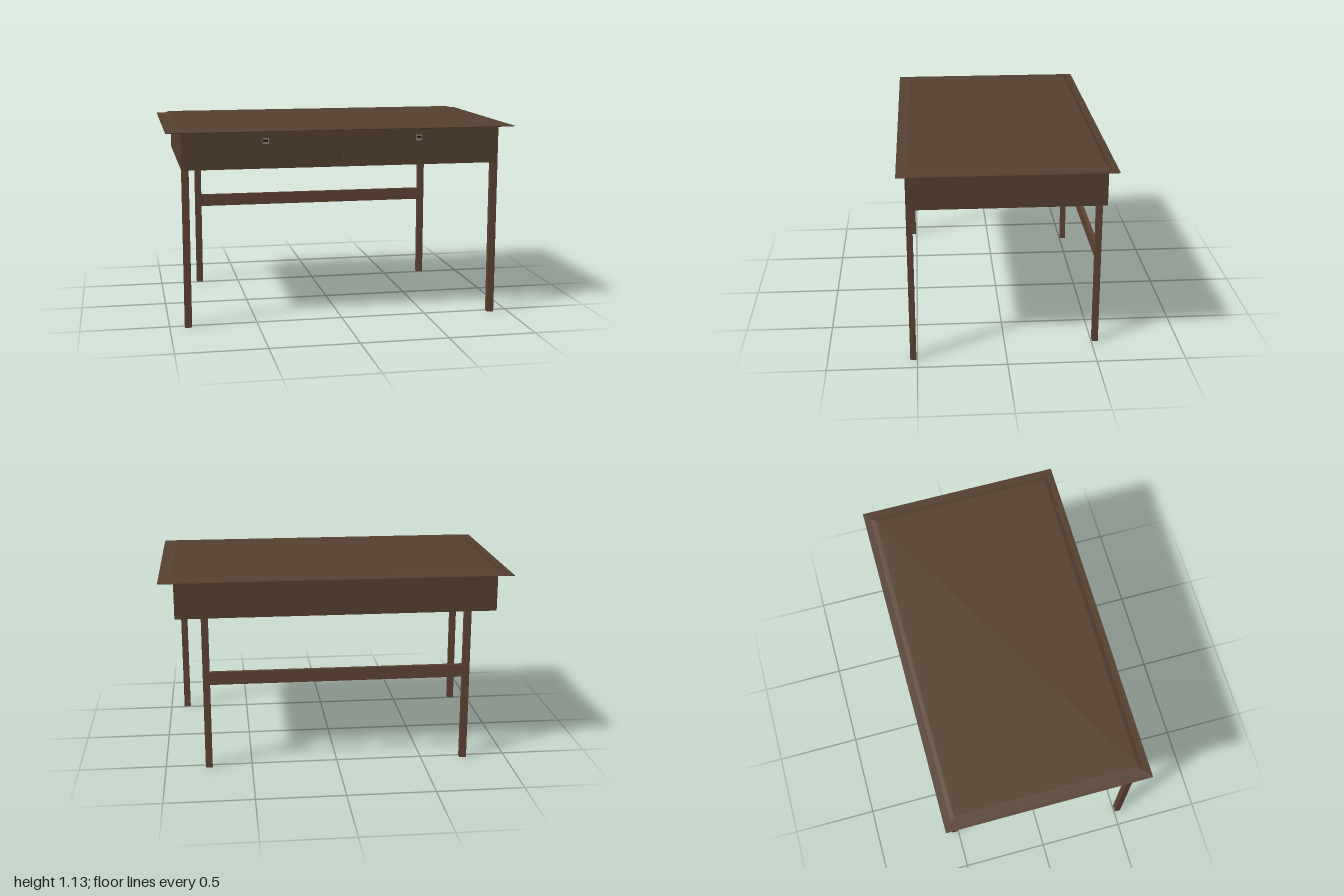
import * as THREE from 'three';

const wood = new THREE.MeshStandardMaterial({ color: 0x55402f, flatShading: true });
const legWood = new THREE.MeshStandardMaterial({ color: 0x5e4333, flatShading: true });
const metal = new THREE.MeshStandardMaterial({ color: 0x8c7b70 });
const dark = new THREE.MeshStandardMaterial({ color: 0x2a1e17 });

// Box given by its min and max corners
function box(name, [x0, y0, z0], [x1, y1, z1], material) {
  const mesh = new THREE.Mesh(new THREE.BoxGeometry(x1 - x0, y1 - y0, z1 - z0), material);
  mesh.position.set((x0 + x1) / 2, (y0 + y1) / 2, (z0 + z1) / 2);
  mesh.name = name;
  return mesh;
}

// Closed solid through stacked rectangles [halfX, y, halfZ], bottom to top
function loftRectangles(rings) {
  const pos = [];
  const corners = rings.map(([x, y, z]) => [[-x, y, z], [x, y, z], [x, y, -z], [-x, y, -z]]);
  const quad = (a, b, c, d) => pos.push(...a, ...b, ...c, ...a, ...c, ...d);
  for (let r = 0; r < corners.length - 1; r++) {
    const lo = corners[r], hi = corners[r + 1];
    for (let i = 0; i < 4; i++) {
      const j = (i + 1) % 4;
      quad(lo[i], lo[j], hi[j], hi[i]);
    }
  }
  quad(...corners[corners.length - 1]);
  quad(...corners[0].slice().reverse());
  const geometry = new THREE.BufferGeometry();
  geometry.setAttribute('position', new THREE.Float32BufferAttribute(pos, 3));
  geometry.computeVertexNormals();
  return geometry;
}

// Small flush pull: a plate with a dark finger slot
function drawerPull(x) {
  const pull = new THREE.Group();
  pull.name = 'drawerPull';
  pull.add(
    box('pullPlate', [-0.018, -0.016, 0], [0.018, 0.016, 0.002], metal),
    box('pullSlot', [-0.014, -0.004, 0], [0.014, 0.008, 0.003], dark)
  );
  pull.position.set(x, 1.055, 0.54);
  return pull;
}

export function createModel() {
  const desk = new THREE.Group();
  desk.name = 'desk';

  // Table top: knife-edged rim and a raised, bevelled panel
  const top = new THREE.Mesh(loftRectangles([
    [0.925, 1.106, 0.54],
    [1.0, 1.113, 0.586],
    [1.0, 1.115, 0.586],
    [0.955, 1.118, 0.548],
    [0.925, 1.13, 0.522],
  ]), wood);
  top.name = 'tableTop';
  desk.add(top);

  // Carcass with two flush drawer fronts
  desk.add(box('carcass', [-0.915, 0.9, -0.54], [0.915, 1.11, 0.535], wood));
  desk.add(box('drawerFront', [-0.915, 0.9, 0.535], [-0.001, 1.11, 0.54], wood));
  desk.add(box('drawerFront', [0.001, 0.9, 0.535], [0.915, 1.11, 0.54], wood));
  for (const x of [-0.445, 0.44]) desk.add(drawerPull(x));

  // Front legs at the corners, back legs set further in
  for (const s of [-1, 1]) {
    for (const [name, x, z] of [['frontLeg', 0.895, 0.523], ['backLeg', 0.75, -0.522]]) {
      const cx = s * x;
      desk.add(box(name, [cx - 0.02, 0, z - 0.017], [cx + 0.02, 0.9, z + 0.017], legWood));
    }
  }

  // Rail between the back legs
  desk.add(box('backStretcher', [-0.73, 0.505, -0.533], [0.73, 0.58, -0.511], legWood));

  return desk;
}
